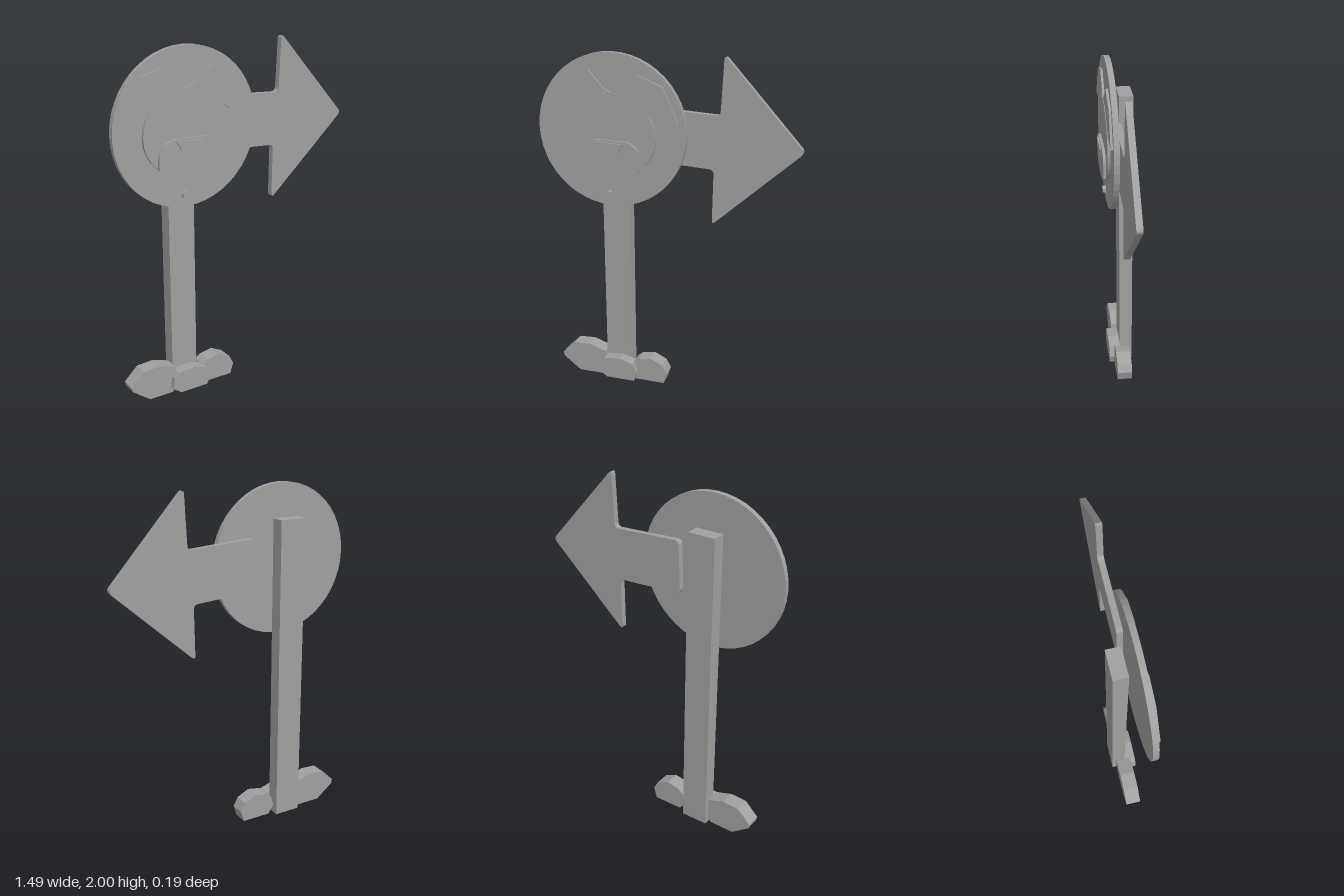
import * as THREE from 'three';

const grey = new THREE.MeshStandardMaterial({ color: 0xa0a0a0 });
grey.name = 'plain grey';
grey.flatShading = true;

// Closed outline from [x, y] corners, optionally with rounded corners
function outline(points, radius = 0) {
  const pts = points.map(([x, y]) => new THREE.Vector2(x, y));
  if (!radius) return new THREE.Shape(pts);
  const shape = new THREE.Shape();
  pts.forEach((p, i) => {
    const prev = pts[(i + pts.length - 1) % pts.length];
    const next = pts[(i + 1) % pts.length];
    const a = p.clone().add(prev.clone().sub(p).setLength(radius));
    const b = p.clone().add(next.clone().sub(p).setLength(radius));
    if (i === 0) shape.moveTo(a.x, a.y);
    else shape.lineTo(a.x, a.y);
    shape.quadraticCurveTo(p.x, p.y, b.x, b.y);
  });
  shape.closePath();
  return shape;
}

export function createModel() {
  const model = new THREE.Group();
  model.name = 'signpost';

  const add = (name, geometry) => {
    const mesh = new THREE.Mesh(geometry, grey);
    mesh.name = name;
    model.add(mesh);
    return mesh;
  };
  // Flat slab cut from a shape, between two depths
  const slab = (name, shape, back, front) => {
    const geometry = new THREE.ExtrudeGeometry(shape, {
      depth: front - back, bevelEnabled: false, curveSegments: 5,
    });
    return add(name, geometry.translate(0, 0, back));
  };
  // Round plate facing the front
  const plate = (name, x, y, rx, ry, back, front, sides) => {
    const geometry = new THREE.CylinderGeometry(1, 1, front - back, sides);
    geometry.rotateX(Math.PI / 2).scale(rx, ry, 1);
    return add(name, geometry.translate(x, y, (back + front) / 2));
  };

  // Post
  add('post', new THREE.BoxGeometry(0.16, 1.81, 0.08).translate(-0.32, 0.905, -0.055));

  // Arrow board behind the disc
  slab('arrow', outline([
    [-0.14, 1.41], [0.265, 1.388], [0.26, 1.07], [0.755, 1.522],
    [0.312, 2.01], [0.296, 1.687], [-0.127, 1.71],
  ], 0.028), -0.012, 0.022);

  // Round sign
  plate('disc', -0.315, 1.568, 0.432, 0.432, 0.022, 0.054, 48);
  plate('bolt', -0.333, 1.203, 0.024, 0.024, 0.054, 0.073, 6);

  // Animal face in stacked layers
  slab('rightEar', outline([
    [-0.698, 1.676], [-0.56, 1.68], [-0.529, 1.687], [-0.31, 1.785],
    [-0.345, 1.8], [-0.439, 1.903], [-0.582, 1.862],
  ]), 0.054, 0.067);
  slab('leftEar', outline([
    [0.074, 1.637], [-0.011, 1.828], [-0.159, 1.889], [-0.27, 1.804],
    [-0.315, 1.785], [-0.09, 1.671], [-0.053, 1.645],
  ]), 0.054, 0.067);
  plate('face', -0.317, 1.545, 0.265, 0.242, 0.054, 0.07, 32);
  slab('muzzle', outline([
    [-0.503, 1.369], [-0.497, 1.448], [-0.466, 1.501], [-0.413, 1.522],
    [-0.2, 1.517], [-0.15, 1.475], [-0.143, 1.358], [-0.2, 1.326],
    [-0.317, 1.31], [-0.44, 1.332],
  ], 0.015), 0.07, 0.085);
  slab('nose', outline([
    [-0.397, 1.512], [-0.37, 1.459], [-0.317, 1.438], [-0.259, 1.459], [-0.238, 1.505],
  ]), 0.085, 0.095);

  // Stones around the foot of the post
  slab('rightStone', outline([
    [-0.683, 0.111], [-0.603, 0.19], [-0.503, 0.196], [-0.4, 0.162],
    [-0.385, 0.07], [-0.42, 0.004], [-0.571, 0.004], [-0.677, 0.085],
  ]), -0.068, 0.022);
  slab('leftStone', outline([
    [-0.235, 0.06], [-0.215, 0.12], [-0.185, 0.143], [-0.106, 0.158],
    [-0.032, 0.122], [-0.004, 0.069], [-0.024, 0.004], [-0.2, 0.004],
  ]), -0.068, 0.022);
  slab('middleStone', outline([
    [-0.434, 0.04], [-0.423, 0.106], [-0.397, 0.132], [-0.296, 0.143],
    [-0.212, 0.117], [-0.188, 0.058], [-0.206, 0.004], [-0.381, 0.004],
  ]), -0.016, 0.053);

  return model;
}
